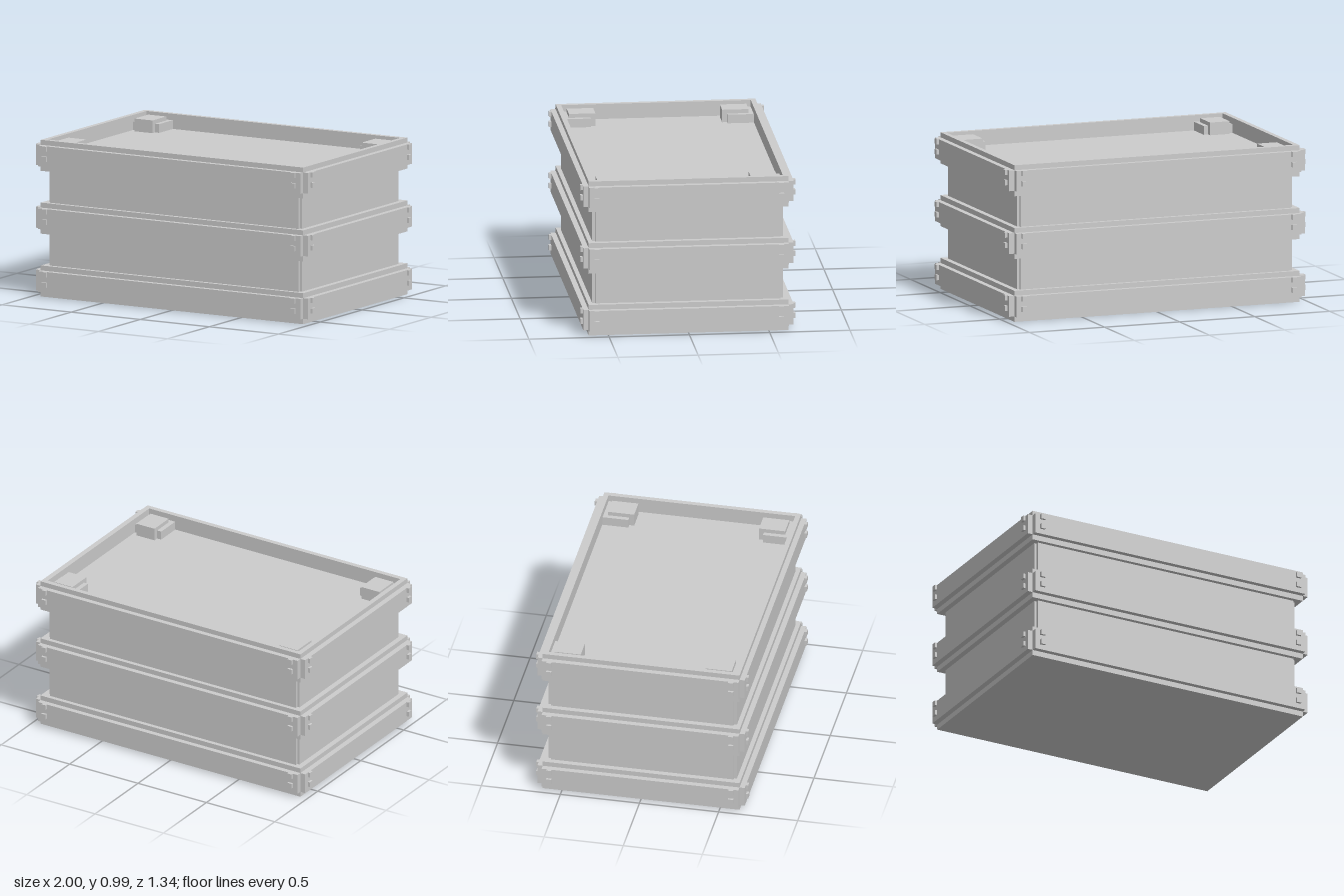
import * as THREE from 'three';

const material = new THREE.MeshStandardMaterial({ color: 0xcccccc, flatShading: true });
const PITCH = 0.395, FRAME_H = 0.195, FLOOR_Y = 0.89, TOP_Y = 0.985;

// Box given by its lower and upper corners
function box(parent, name, [x0, y0, z0], [x1, y1, z1]) {
  const mesh = new THREE.Mesh(new THREE.BoxGeometry(x1 - x0, y1 - y0, z1 - z0), material);
  mesh.name = name;
  mesh.position.set((x0 + x1) / 2, (y0 + y1) / 2, (z0 + z1) / 2);
  parent.add(mesh);
  return mesh;
}

// Box centred on the y axis
const slab = (parent, name, hx, hz, y0, y1) => box(parent, name, [-hx, y0, -hz], [hx, y1, hz]);

const rect = (Type, hx, hz) => new Type([[-hx, -hz], [hx, -hz], [hx, hz], [-hx, hz]]
  .map(([x, z]) => new THREE.Vector2(x, z)));

// Rectangular frame with an opening
function rim(parent, name, hx, hz, y0, y1) {
  const shape = rect(THREE.Shape, hx, hz);
  shape.holes.push(rect(THREE.Path, 0.918, 0.59));
  const geometry = new THREE.ExtrudeGeometry(shape, { depth: y1 - y0, bevelEnabled: false });
  geometry.rotateX(-Math.PI / 2);
  const mesh = new THREE.Mesh(geometry, material);
  mesh.name = name;
  mesh.position.y = y0;
  parent.add(mesh);
}

// Raised boards and bolts around one frame
function addBoards(parent, y) {
  const b0 = y + 0.034, b1 = y + 0.164;
  for (const s of [-1, 1]) {
    const side = new THREE.Group();
    side.name = s > 0 ? 'leftAndFrontBoards' : 'rightAndBackBoards';
    const span = (a, b) => (s > 0 ? [a, b] : [-b, -a]);
    const [x0, x1] = span(0.95, 0.985), [z0, z1] = span(0.622, 0.655);
    box(side, 'sideBoard', [x0, b0, -0.622], [x1, b1, 0.622]);
    box(side, 'longBoard', [-0.95, b0, z0], [0.95, b1, z1]);
    // Two bolts at each end of each board
    const [bx0, bx1] = span(0.98, 1.0), [bz0, bz1] = span(0.65, 0.67);
    for (const e of [-1, 1]) {
      for (const by of [y + 0.067, y + 0.132]) {
        const top = by + 0.032;
        box(side, 'sideBolt', [bx0, by, e * 0.575 - 0.016], [bx1, top, e * 0.575 + 0.016]);
        box(side, 'longBolt', [e * 0.9 - 0.016, by, bz0], [e * 0.9 + 0.016, top, bz1]);
      }
    }
    parent.add(side);
  }
}

export function createModel() {
  const model = new THREE.Group();
  model.name = 'stackedCrate';

  for (let i = 0; i < 3; i++) {
    const y = i * PITCH;
    const frame = new THREE.Group();
    frame.name = 'frame' + (i + 1);
    if (i < 2) {
      slab(frame, 'frameCore', 0.95, 0.622, y, y + FRAME_H);
      // Recessed walls with notched corners above the frame
      slab(model, 'endWalls', 0.915, 0.577, y + FRAME_H, y + PITCH);
      slab(model, 'longWalls', 0.9, 0.595, y + FRAME_H, y + PITCH);
    } else {
      slab(frame, 'trayFloor', 0.95, 0.622, y, FLOOR_Y);
      rim(frame, 'trayRim', 0.95, 0.622, FLOOR_Y, TOP_Y);
    }
    addBoards(frame, y);
    model.add(frame);
  }

  // Stepped corner blocks inside the tray
  for (const sx of [-1, 1]) {
    for (const sz of [-1, 1]) {
      const corner = new THREE.Group();
      corner.name = 'cornerBlock';
      const place = (name, cx, cz, w, d, top) => box(corner, name,
        [sx * cx - w / 2, FLOOR_Y, sz * cz - d / 2], [sx * cx + w / 2, top, sz * cz + d / 2]);
      place('wideBlock', 0.822, 0.507, 0.19, 0.163, 0.945);
      place('tallBlock', 0.822, 0.477, 0.131, 0.165, 0.97);
      model.add(corner);
    }
  }
  return model;
}
